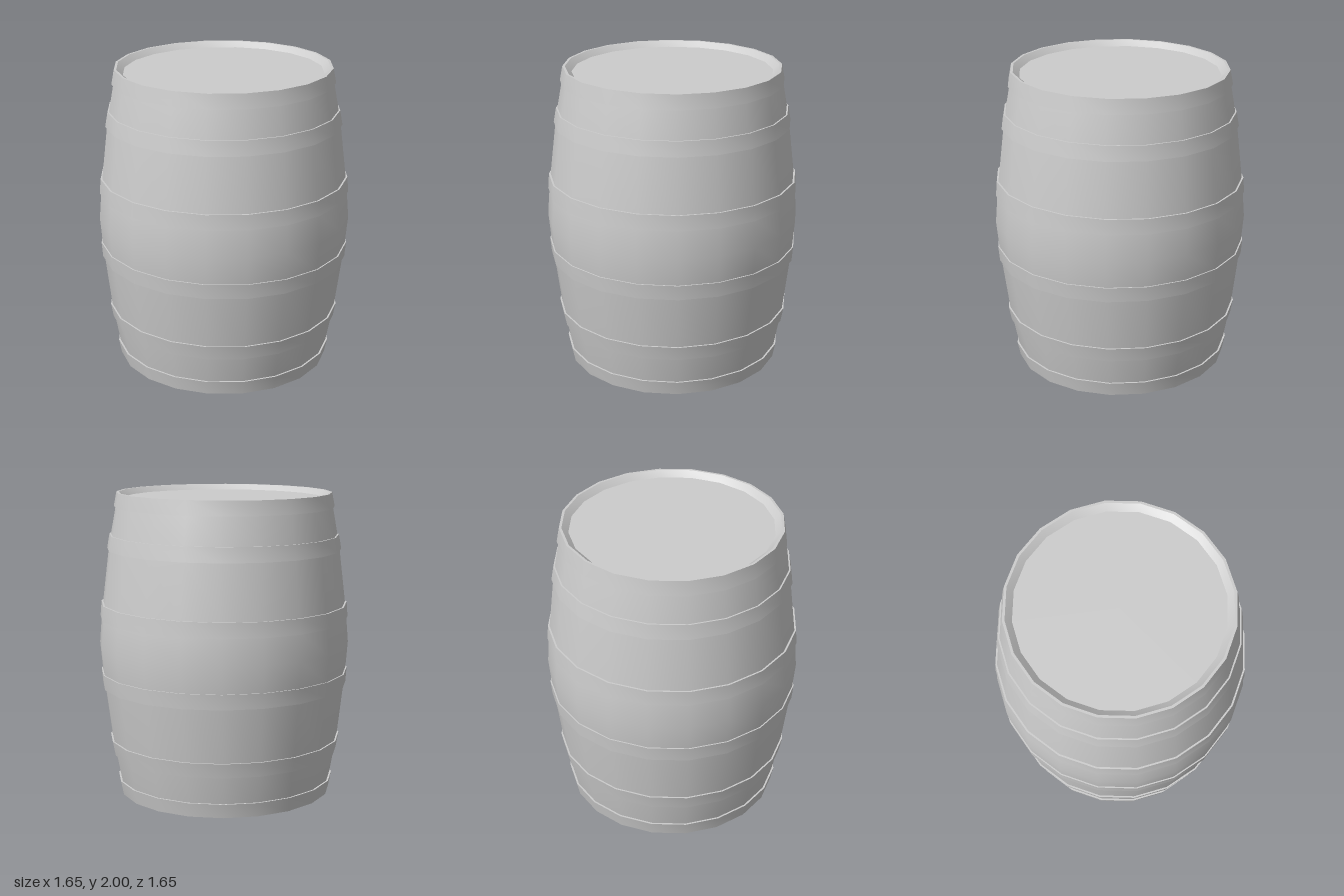
import * as THREE from 'three';
import { toCreasedNormals } from 'three/addons/utils/BufferGeometryUtils.js';

const SIDES = 20;
const MID = 1.005;
const material = new THREE.MeshStandardMaterial({ color: 0xcccccc });

// The cask is slightly crooked: each half leans by a small angle about the middle
function lean(geometry) {
  const p = geometry.attributes.position;
  for (let i = 0; i < p.count; i++) {
    const x = p.getX(i), h = p.getY(i) - MID;
    const a = THREE.MathUtils.lerp(-0.01, 0.003, THREE.MathUtils.smoothstep(h, -0.15, 0.15));
    p.setXY(i, x - a * h, MID + h + a * x);
  }
  return geometry;
}

function turned(name, profile) {
  const points = profile.map(([r, y]) => new THREE.Vector2(r, y));
  const geometry = lean(new THREE.LatheGeometry(points, SIDES));
  const mesh = new THREE.Mesh(toCreasedNormals(geometry, 0.5), material);
  mesh.name = name;
  return mesh;
}

export function createModel() {
  const barrel = new THREE.Group();
  barrel.name = 'barrel';

  // Half profile as [radius, height above the middle], mirrored for the lower half
  const upper = [
    [0.81, 0.18], [0.80, 0.27], [0.757, 0.625], [0.742, 0.715],
    [0.708, 0.9], [0.687, 0.993], [0.645, 0.958], [0, 0.958],
  ];
  const lower = upper.map(([r, h]) => [r, -h]).reverse();
  const profile = [...lower, [0.825, 0], ...upper].map(([r, h]) => [r, MID + h]);
  barrel.add(turned('staves and heads', profile));

  // Hoops as [inner height, wide radius, outer height, narrow radius]
  const hoops = [
    ['middle', 0.175, 0.819, 0.273, 0.811],
    ['quarter', 0.625, 0.768, 0.72, 0.751],
    ['end', 0.9, 0.72, 0.993, 0.702],
  ];
  for (const [label, h0, r0, h1, r1] of hoops) {
    for (const s of [1, -1]) {
      const ring = [[r0 - 0.025, h0], [r0, h0], [r1, h1], [r1 - 0.016, h1]];
      const points = ring.map(([r, h]) => [r, MID + s * h]);
      if (s < 0) points.reverse();
      barrel.add(turned(`${s > 0 ? 'upper' : 'lower'} ${label} hoop`, points));
    }
  }
  return barrel;
}
